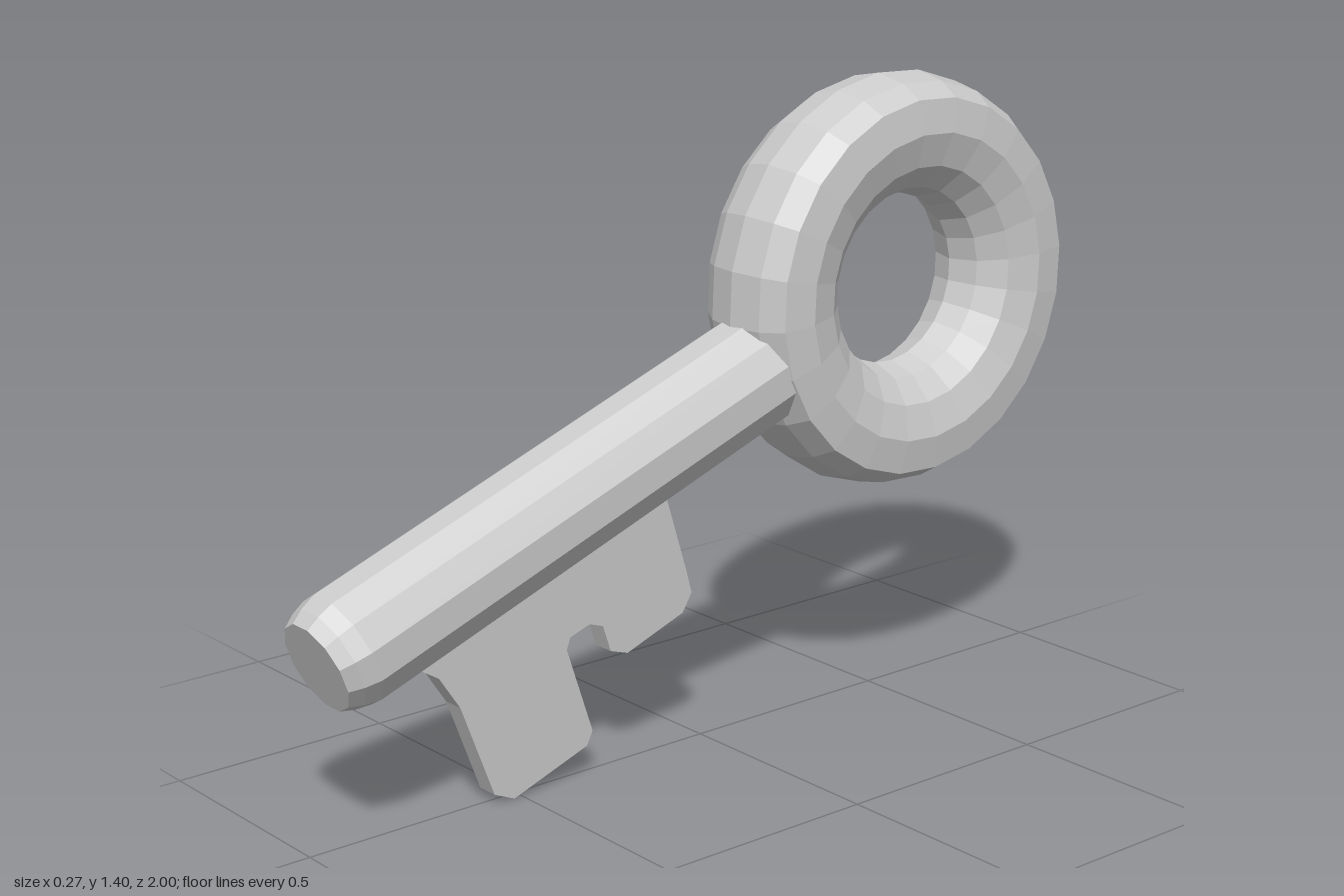
import * as THREE from 'three';

const TILT = THREE.MathUtils.degToRad(20);
const material = new THREE.MeshStandardMaterial({ color: 0xcccccc, flatShading: true });

// Surface of revolution from [radius, height] pairs
function lathe(points, sides, start = 0) {
  return new THREE.LatheGeometry(points.map(([r, h]) => new THREE.Vector2(r, h)), sides, start);
}

function addPart(parent, name, geometry) {
  const mesh = new THREE.Mesh(geometry, material);
  mesh.name = name;
  parent.add(mesh);
  return mesh;
}

export function createModel() {
  const model = new THREE.Group();
  model.name = 'key';

  // Handle and shaft share a tilted frame centred on the ring
  const body = new THREE.Group();
  body.name = 'handleAndShaft';
  body.position.set(0, 0.94, -0.54);
  body.rotation.x = TILT;
  model.add(body);

  // Ring handle: rounded rim, dished faces, closed mirrored section
  const half = [[0.445, 0.075], [0.415, 0.125], [0.34, 0.135], [0.265, 0.112], [0.212, 0.065]];
  const mirrored = half.map(([r, h]) => [r, -h]).reverse();
  const section = [[0.19, 0], ...mirrored, [0.46, 0], ...half, [0.19, 0]];
  addPart(body, 'ringHandle', lathe(section, 24).rotateZ(-Math.PI / 2));

  // Twelve-sided shaft with a chamfered tip
  const shaft = [[0, 0.32], [0.125, 0.32], [0.125, 1.54], [0.115, 1.575], [0.1, 1.605], [0, 1.605]];
  addPart(body, 'shaft', lathe(shaft, 12, Math.PI / 12).rotateX(Math.PI / 2));

  // Flat bit with two teeth, outlined as [z, y]
  const outline = [
    [0.74, 0.43], [0.74, 0.335], [0.70, 0.31], [0.65, 0.235], [0.57, 0.025], [0.52, 0.003],
    [0.33, 0.07], [0.315, 0.10], [0.38, 0.295], [0.37, 0.32], [0.32, 0.337], [0.285, 0.325],
    [0.265, 0.265], [0.22, 0.25], [0.07, 0.305], [0.045, 0.345], [0.06, 0.40], [0.11, 0.56],
    [0.11, 0.65],
  ];
  const shape = new THREE.Shape(outline.map(([z, y]) => new THREE.Vector2(z, y)));
  const bit = new THREE.ExtrudeGeometry(shape, { depth: 0.05, bevelEnabled: false });
  addPart(model, 'bit', bit.translate(0, 0, -0.025).rotateY(-Math.PI / 2));

  return model;
}
